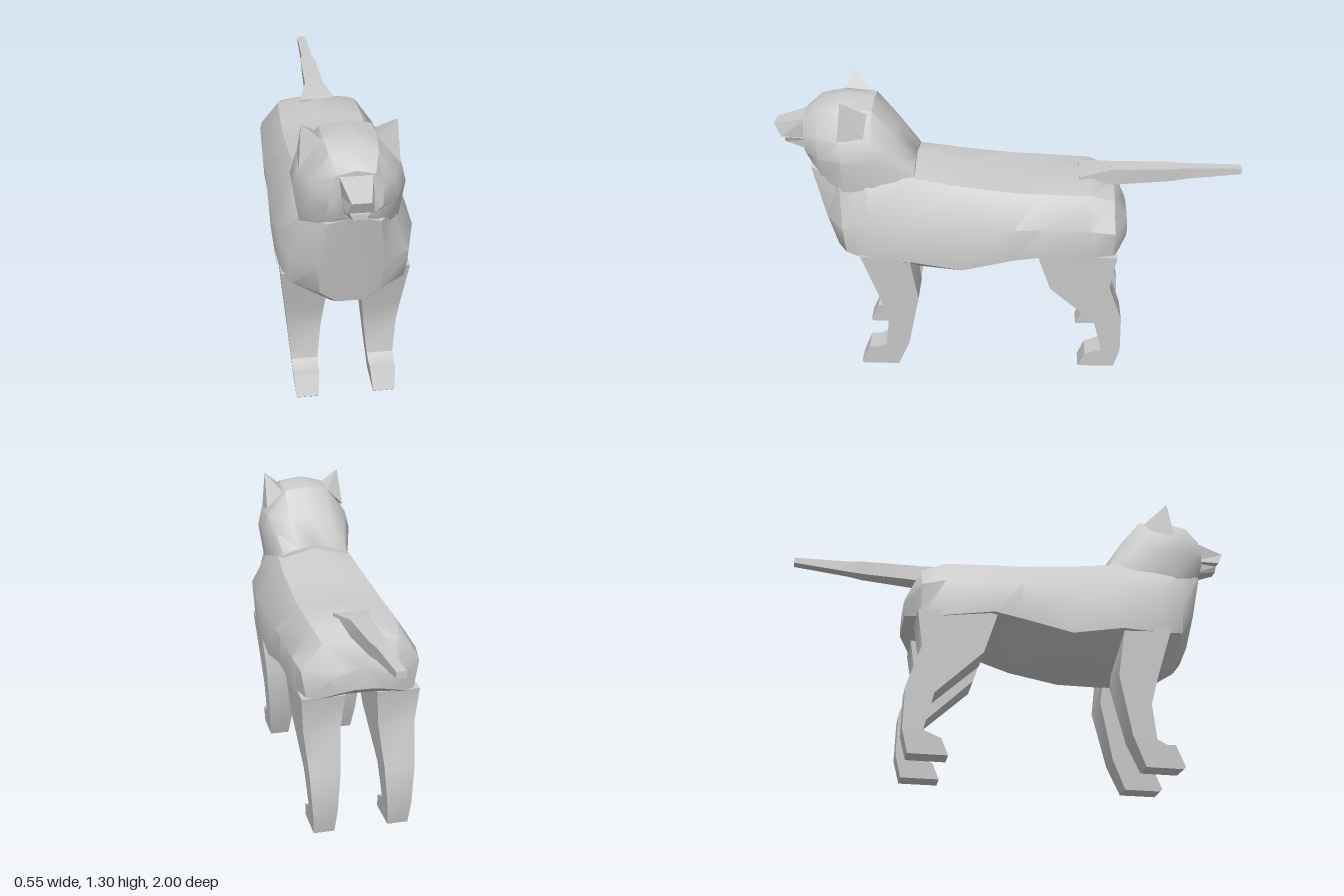
import * as THREE from 'three';
import { toCreasedNormals } from 'three/addons/utils/BufferGeometryUtils.js';
import { ConvexGeometry } from 'three/addons/geometries/ConvexGeometry.js';

const material = new THREE.MeshStandardMaterial({ color: 0xcccccc });

function addMesh(parent, name, geometry, crease = 0.6) {
  const mesh = new THREE.Mesh(toCreasedNormals(geometry, crease), material);
  mesh.name = name;
  parent.add(mesh);
  return mesh;
}

// Symmetric loft from front to back. Each section is { z, lean, half }, where
// half lists [x, y] from the top down the +x side; lean tilts z with height.
function loft(sections) {
  const positions = [];
  const index = [];
  let n = 0;
  for (const { z, lean = 0, half } of sections) {
    const mirrored = half.filter(([x]) => x > 0).map(([x, y]) => [-x, y]).reverse();
    const ring = [...half, ...mirrored];
    n = ring.length;
    for (const [x, y] of ring) positions.push(x, y, z + lean * (y - 0.75));
  }
  const last = (sections.length - 1) * n;
  for (let i = 0; i < last; i += n) {
    for (let j = 0; j < n; j++) {
      const k = (j + 1) % n;
      index.push(i + j, i + k, i + n + j, i + k, i + n + k, i + n + j);
    }
  }
  for (let j = 1; j < n - 1; j++) {
    index.push(0, j + 1, j, last, last + j, last + j + 1);
  }
  const geometry = new THREE.BufferGeometry();
  geometry.setAttribute('position', new THREE.Float32BufferAttribute(positions, 3));
  geometry.setIndex(index);
  return geometry;
}

// Four-sided section: top and bottom half-widths and heights
const slab = (z, xTop, yTop, xBottom, yBottom, lean = 0) =>
  ({ z, lean, half: [[xTop, yTop], [xBottom, yBottom]] });

// Leg: side outline in (z, y), extruded across x and tapered towards the foot
function legGeometry(outline, side, top) {
  const shape = new THREE.Shape(outline.map(([z, y]) => new THREE.Vector2(z, y)));
  const geometry = new THREE.ExtrudeGeometry(shape, { depth: 1, bevelEnabled: false });
  const p = geometry.attributes.position;
  for (let i = 0; i < p.count; i++) {
    const z = p.getX(i), y = p.getY(i), t = p.getZ(i);
    const h = y / 0.6;
    const inner = THREE.MathUtils.lerp(0.118, top.inner, h);
    const outer = THREE.MathUtils.lerp(0.208, top.outer, h);
    const x = side > 0 ? THREE.MathUtils.lerp(outer, inner, t) : -THREE.MathUtils.lerp(inner, outer, t);
    p.setXYZ(i, x, y, z);
  }
  geometry.deleteAttribute('normal');
  geometry.deleteAttribute('uv');
  return geometry;
}

export function createModel() {
  const model = new THREE.Group();
  model.name = 'dog';

  // Body from chest to rump
  addMesh(model, 'body', loft([
    { z: 0.79, lean: 0.25, half: [[0, 1.0], [0.1, 0.97], [0.13, 0.75], [0.12, 0.6], [0.05, 0.54]] },
    { z: 0.71, lean: 0.05, half: [[0, 1.02], [0.17, 0.95], [0.235, 0.74], [0.22, 0.62], [0.07, 0.52]] },
    { z: 0.6, half: [[0, 1.02], [0.18, 0.95], [0.268, 0.79], [0.255, 0.6], [0.07, 0.455]] },
    { z: 0.42, half: [[0, 1.0], [0.17, 0.96], [0.275, 0.78], [0.268, 0.6], [0.08, 0.46]] },
    { z: 0.2, half: [[0, 0.945], [0.18, 0.925], [0.277, 0.78], [0.265, 0.56], [0.08, 0.46]] },
    { z: -0.02, half: [[0, 0.91], [0.185, 0.9], [0.275, 0.77], [0.26, 0.61], [0.08, 0.5]] },
    { z: -0.14, half: [[0, 0.91], [0.185, 0.895], [0.272, 0.77], [0.265, 0.63], [0.1, 0.57]] },
    { z: -0.35, half: [[0, 0.925], [0.18, 0.885], [0.265, 0.76], [0.255, 0.6], [0.08, 0.6]] },
    { z: -0.45, half: [[0, 0.87], [0.16, 0.85], [0.25, 0.74], [0.225, 0.6], [0.06, 0.62]] },
    { z: -0.51, half: [[0, 0.755], [0.08, 0.745], [0.14, 0.71], [0.11, 0.65], [0.04, 0.66]] },
  ]), 0.7);

  // Head and neck
  addMesh(model, 'head', loft([
    { z: 0.865, half: [[0, 1.2], [0.07, 1.185], [0.1, 1.12], [0.1, 1.05], [0.06, 1.01]] },
    { z: 0.8, half: [[0, 1.25], [0.09, 1.235], [0.155, 1.13], [0.165, 1.04], [0.12, 0.93]] },
    { z: 0.7, half: [[0, 1.275], [0.1, 1.25], [0.195, 1.13], [0.213, 1.05], [0.19, 0.9]] },
    { z: 0.57, half: [[0, 1.25], [0.1, 1.235], [0.19, 1.12], [0.21, 1.04], [0.19, 0.9]] },
    { z: 0.48, half: [[0, 1.13], [0.1, 1.12], [0.165, 1.06], [0.18, 1.0], [0.18, 0.9]] },
    { z: 0.4, half: [[0, 1.005], [0.08, 1.0], [0.15, 0.97], [0.16, 0.95], [0.16, 0.9]] },
  ]), 0.7);

  // Muzzle and lower jaw, with the mouth a little open
  addMesh(model, 'muzzle', loft([
    slab(0.8, 0.036, 1.145, 0.05, 1.09, 0.5),
    slab(0.84, 0.066, 1.185, 0.055, 1.085),
  ]), 0.3);
  addMesh(model, 'lowerJaw', loft([
    slab(0.96, 0.035, 1.078, 0.024, 1.055),
    slab(0.82, 0.056, 1.08, 0.05, 1.015),
  ]), 0.3);

  // Tail, flared where it leaves the back
  addMesh(model, 'tail', loft([
    slab(-0.3, 0.08, 0.922, 0.08, 0.86),
    slab(-0.44, 0.042, 0.938, 0.042, 0.865),
    slab(-0.7, 0.035, 0.94, 0.03, 0.88),
    slab(-0.76, 0.024, 0.94, 0.024, 0.888),
    slab(-1, 0.02, 0.938, 0.02, 0.912),
  ]), 0.5);

  // Side outlines of the legs as [z, y]
  const frontLeg = [
    [0.64, 0.62], [0.57, 0.39], [0.54, 0.27], [0.565, 0.06], [0.595, 0.1], [0.64, 0.1],
    [0.68, 0.01], [0.67, 0], [0.51, 0], [0.455, 0.13], [0.4, 0.39], [0.43, 0.61],
  ];
  frontLeg.splice(3, 2, [0.56, 0.12], [0.6, 0.1]);
  const hindLeg = [
    [-0.12, 0.64], [-0.18, 0.45], [-0.38, 0.26], [-0.42, 0.1], [-0.345, 0.07], [-0.315, 0],
    [-0.48, 0], [-0.505, 0.1], [-0.5, 0.28], [-0.44, 0.46], [-0.465, 0.62],
  ];

  for (const side of [1, -1]) {
    const label = side > 0 ? 'left' : 'right';
    addMesh(model, `${label}FrontLeg`, legGeometry(frontLeg, side, { inner: 0.06, outer: 0.258 }), 0.5);
    addMesh(model, `${label}HindLeg`, legGeometry(hindLeg, side, { inner: 0.07, outer: 0.25 }), 0.5);

    // Pointed ear
    const corners = [
      [0.178, 1.305, 0.685], [0.1, 1.24, 0.7], [0.19, 1.13, 0.71], [0.185, 1.15, 0.6], [0.11, 1.225, 0.59],
    ].map(([x, y, z]) => new THREE.Vector3(side * x, y, z));
    addMesh(model, `${label}Ear`, new ConvexGeometry(corners), 0.3);
  }
  return model;
}
